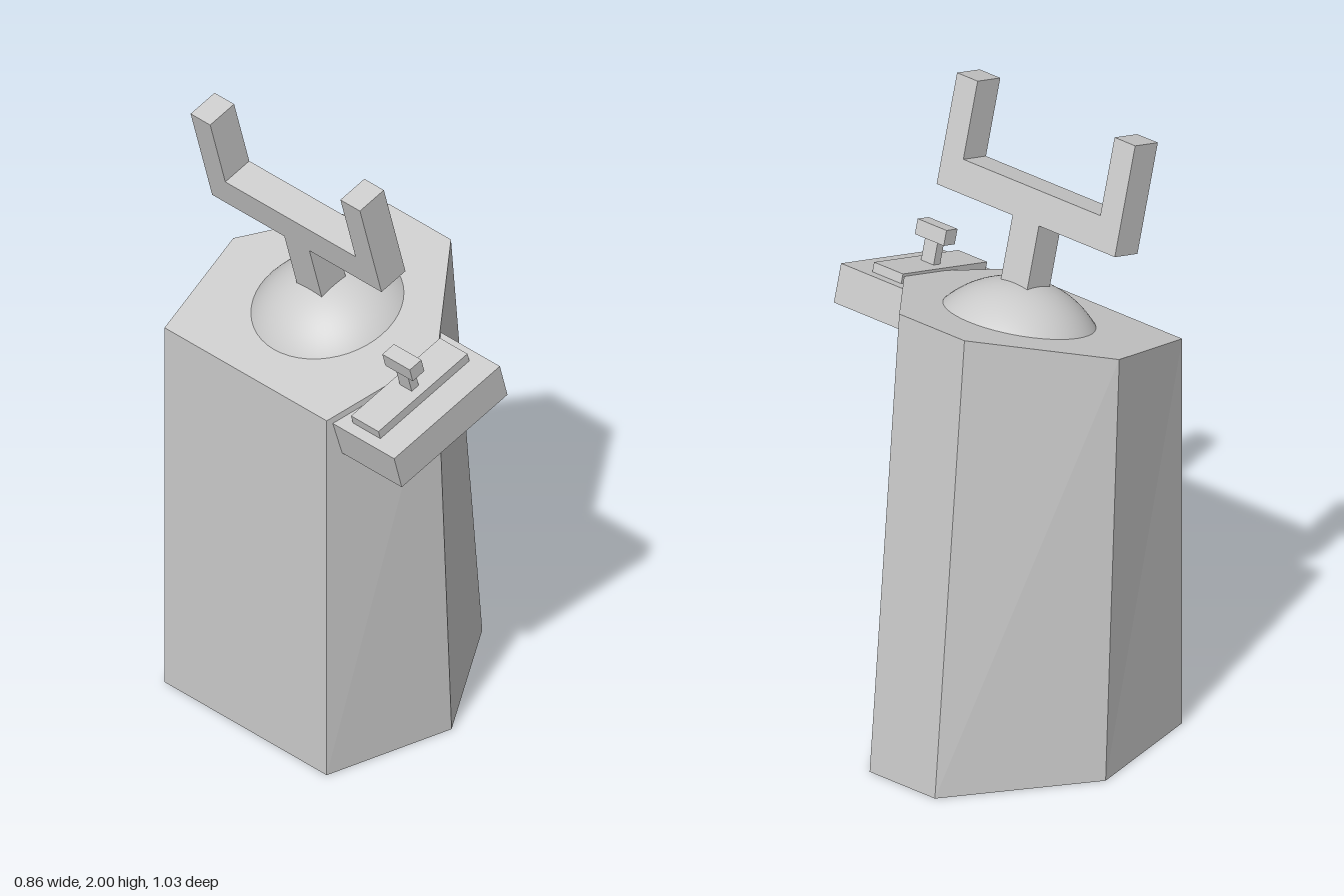
import * as THREE from 'three';

const TILT = Math.PI / 12;
const grey = new THREE.MeshStandardMaterial({ color: 0xcccccc });
const flatGrey = new THREE.MeshStandardMaterial({ color: 0xcccccc, flatShading: true });

function box(name, w, h, d, x, y, z) {
  const mesh = new THREE.Mesh(new THREE.BoxGeometry(w, h, d), flatGrey);
  mesh.name = name;
  mesh.position.set(x, y, z);
  return mesh;
}

// Group whose up axis leans with the sloping top of the column
function tilted(name, x, y, z) {
  const group = new THREE.Group();
  group.name = name;
  group.position.set(x, y, z);
  group.rotation.z = TILT;
  return group;
}

// Six-sided solid between a flat base ring and a sloping top ring
function columnGeometry() {
  // [base x, top x, z], counter-clockwise from above
  const ring = [
    [-0.43, -0.43, 0.25], [0, -0.06, 0.34], [0.425, 0.295, 0.04],
    [0.425, 0.295, -0.22], [0, -0.06, -0.515], [-0.43, -0.43, -0.43],
  ];
  const base = ring.map(([x, , z]) => [x, 0, z]);
  const top = ring.map(([, x, z]) => [x, 1.388 + x * Math.tan(TILT), z]);
  const pos = [];
  const tri = (a, b, c) => pos.push(...a, ...b, ...c);
  for (let i = 0; i < 6; i++) {
    const j = (i + 1) % 6;
    tri(base[i], base[j], top[j]);
    tri(base[i], top[j], top[i]);
    if (i > 0 && i < 5) {
      tri(top[0], top[i], top[j]);
      tri(base[0], base[j], base[i]);
    }
  }
  const geo = new THREE.BufferGeometry();
  geo.setAttribute('position', new THREE.Float32BufferAttribute(pos, 3));
  geo.computeVertexNormals();
  return geo;
}

export function createModel() {
  const model = new THREE.Group();
  model.name = 'controlPedestal';

  const column = new THREE.Mesh(columnGeometry(), flatGrey);
  column.name = 'column';
  model.add(column);

  // Dome and forked lever on the sloping top
  const lever = tilted('lever', -0.09, 1.364, -0.09);
  const R = 0.298, r = 0.23;
  const dome = new THREE.Mesh(
    new THREE.SphereGeometry(R, 48, 16, 0, Math.PI * 2, 0, Math.asin(r / R)), grey);
  dome.name = 'dome';
  dome.position.y = -Math.sqrt(R * R - r * r);
  lever.add(dome);
  lever.add(box('leverStem', 0.103, 0.3, 0.105, 0, 0.15, 0));
  lever.add(box('leverCrossbar', 0.103, 0.103, 0.71, 0, 0.35, 0));
  for (const side of [-1, 1]) {
    lever.add(box(side > 0 ? 'frontProng' : 'backProng', 0.103, 0.244, 0.082, 0, 0.523, side * 0.314));
  }
  model.add(lever);

  // Side console with raised pad and small T handle
  const shelf = tilted('console', -0.19, 1.315, 0.38);
  shelf.add(box('consoleBody', 0.455, 0.122, 0.265, 0, -0.061, 0));
  shelf.add(box('consolePad', 0.383, 0.03, 0.115, 0, 0.015, -0.018));
  shelf.add(box('handlePost', 0.03, 0.075, 0.05, 0, 0.067, -0.018));
  shelf.add(box('handleGrip', 0.05, 0.048, 0.115, 0, 0.125, -0.018));
  model.add(shelf);

  return model;
}
